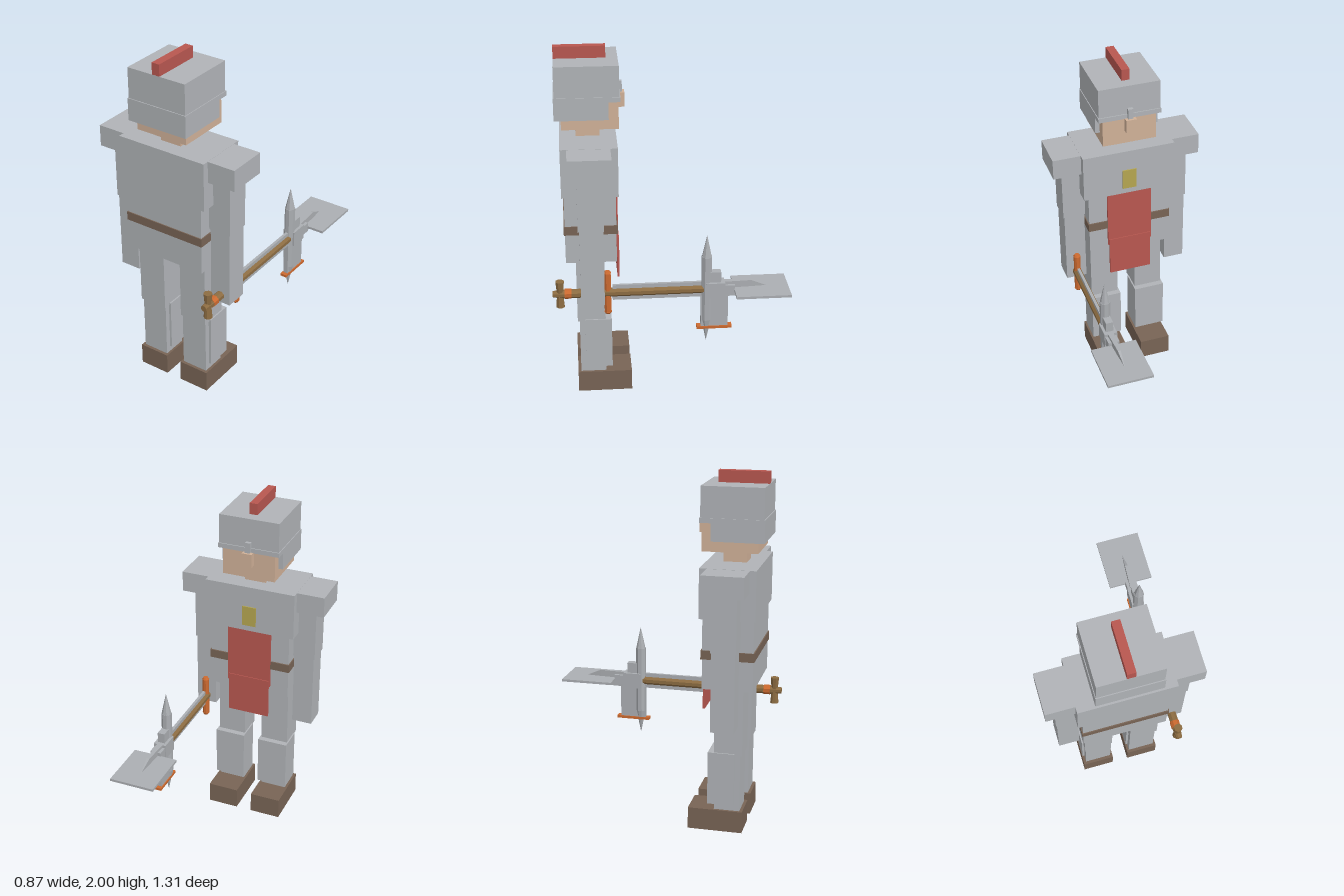
import * as THREE from 'three';

const mat = (name, color, extra = {}) => {
  const m = new THREE.MeshStandardMaterial({ color, flatShading: true, ...extra });
  m.name = name;
  return m;
};

export function createModel() {
  const armour = mat('armourGrey', 0xb0b3b7);
  const steel = mat('weaponSteel', 0xabaeb2);
  const skin = mat('skin', 0xd0b198);
  const red = mat('redCloth', 0xb85750);
  const leather = mat('brownLeather', 0x786455);
  const wood = mat('wood', 0x8c6c42);
  const copper = mat('copper', 0xcc6a30);
  const brass = mat('brass', 0xb5a650);

  const model = new THREE.Group();
  model.name = 'armouredSoldier';

  const add = (parent, name, geo, m, x, y, z) => {
    const mesh = new THREE.Mesh(geo, m);
    mesh.name = name;
    mesh.position.set(x, y, z);
    parent.add(mesh);
    return mesh;
  };
  // Box given by its limits on each axis
  const box = (parent, name, m, [x0, x1], [y0, y1], [z0, z1]) =>
    add(parent, name, new THREE.BoxGeometry(x1 - x0, y1 - y0, z1 - z0), m,
      (x0 + x1) / 2, (y0 + y1) / 2, (z0 + z1) / 2);

  // The body sits slightly off the weapon-inclusive centre
  const body = new THREE.Group();
  body.name = 'body';
  body.position.x = -0.006;
  model.add(body);
  const mid = (name, m, halfWidth, y, z) => box(body, name, m, [-halfWidth, halfWidth], y, z);

  // Head, helmet and crest
  mid('neck', skin, 0.063, [1.5, 1.59], [0.37, 0.5]);
  mid('head', skin, 0.155, [1.58, 1.77], [0.268, 0.576]);
  mid('nose', skin, 0.03, [1.66, 1.74], [0.23, 0.28]);
  mid('helmetTop', armour, 0.177, [1.755, 1.935], [0.264, 0.608]);
  mid('helmetBrow', armour, 0.181, [1.738, 1.765], [0.258, 0.613]);
  mid('helmetBack', armour, 0.181, [1.64, 1.74], [0.54, 0.613]);
  mid('noseGuard', armour, 0.015, [1.725, 1.8], [0.243, 0.27]);
  mid('crest', red, 0.023, [1.93, 2], [0.328, 0.607]);

  // Trunk
  mid('chest', armour, 0.27, [1.235, 1.512], [0.28, 0.588]);
  mid('torso', armour, 0.241, [0.835, 1.24], [0.295, 0.576]);
  mid('belt', leather, 0.247, [1.005, 1.055], [0.287, 0.582]);
  mid('tabardUpper', red, 0.132, [0.885, 1.237], [0.282, 0.298]);
  mid('tabardLower', red, 0.125, [0.682, 0.925], [0.277, 0.289]);
  mid('badge', brass, 0.041, [1.27, 1.39], [0.273, 0.282]);

  // Mirrored limbs and helmet sides
  for (const s of [-1, 1]) {
    const side = (name, m, a, b, y, z) =>
      box(body, name, m, s < 0 ? [-b, -a] : [a, b], y, z);
    side('helmetCheek', armour, 0.15, 0.181, [1.64, 1.74], [0.322, 0.613]);
    side('shoulder', armour, 0.262, 0.432, [1.39, 1.511], [0.32, 0.552]);
    side('upperArm', armour, 0.243, 0.374, [1.08, 1.4], [0.366, 0.506]);
    side('forearm', armour, 0.248, 0.368, [0.635, 1.085], [0.37, 0.5]);
    side('thigh', armour, 0.055, 0.221, [0.455, 0.84], [0.364, 0.522]);
    side('shin', armour, 0.06, 0.215, [0.12, 0.456], [0.366, 0.511]);
    side('greave', armour, 0.047, 0.229, [0.16, 0.465], [0.33, 0.48]);
    side('boot', leather, 0.047, 0.23, [0, 0.125], [0.22, 0.528]);
  }

  // Polearm: local origin on the shaft axis, pointing to -z
  const pole = new THREE.Group();
  pole.name = 'polearm';
  pole.position.set(0.302, 0.681, 0);
  model.add(pole);
  const rod = (name, m, r0, r1, length, y, z, alongZ = false, sides = 8) => {
    const geo = new THREE.CylinderGeometry(r1, r0, length, sides).rotateY(Math.PI / sides);
    if (alongZ) geo.rotateX(-Math.PI / 2);
    return add(pole, name, geo, m, 0, y, z);
  };

  // Shaft with steel strips above and below
  rod('shaft', wood, 0.025, 0.025, 0.79, 0, 0.2, true);
  box(pole, 'langet', steel, [-0.008, 0.008], [-0.045, 0.045], [-0.2, 0.325]);

  // Crossguard, grip ring and pommel
  rod('crossguard', copper, 0.02, 0.02, 0.24, 0, 0.352);
  for (const s of [-1, 1]) {
    rod('guardEnd', copper, s < 0 ? 0.014 : 0.022, s < 0 ? 0.022 : 0.014, 0.012, s * 0.125, 0.352);
    rod('pommelArm', wood, s < 0 ? 0.025 : 0.018, s < 0 ? 0.018 : 0.025, 0.076, s * 0.039, 0.614);
  }
  rod('gripRing', copper, 0.028, 0.028, 0.038, 0, 0.57, true);
  rod('pommelCap', wood, 0.018, 0.024, 0.065, 0, 0.622, true);

  // Upright bar ending in spikes
  rod('uprightBar', steel, 0.03, 0.03, 0.39, 0.004, -0.196);
  rod('topSpike', steel, 0.028, 0.001, 0.125, 0.2605, -0.196);
  rod('bottomSpike', steel, 0.001, 0.028, 0.135, -0.2585, -0.196);

  // Socket blocks
  box(pole, 'socket', steel, [-0.037, 0.037], [-0.045, 0.045], [-0.297, -0.19]);
  box(pole, 'socketStud', steel, [-0.021, 0.021], [0.04, 0.106], [-0.275, -0.2]);
  box(pole, 'frontCollar', steel, [-0.032, 0.032], [-0.028, 0.028], [-0.352, -0.29]);

  // Front spike: flat tapering blade with a point
  const spike = new THREE.BoxGeometry(0.034, 0.09, 0.155);
  const sp = spike.attributes.position;
  for (let i = 0; i < sp.count; i++) if (sp.getZ(i) < 0) sp.setX(i, sp.getX(i) * 0.5);
  spike.computeVertexNormals();
  add(pole, 'frontSpike', spike, steel, 0, 0, -0.3675);
  const tip = new THREE.CylinderGeometry(0.001, Math.SQRT1_2, 0.1, 4)
    .rotateY(Math.PI / 4).rotateX(-Math.PI / 2).scale(0.017, 0.09, 1);
  add(pole, 'spikeTip', tip, steel, 0, 0, -0.495);

  // Flat front plate and lower hammer blade with copper edge
  box(pole, 'frontPlate', steel, [-0.128, 0.132], [-0.007, 0.007], [-0.652, -0.348]);
  box(pole, 'lowerBlade', steel, [-0.014, 0.014], [-0.231, -0.04], [-0.317, -0.165]);
  box(pole, 'bladeEdge', copper, [-0.02, 0.02], [-0.246, -0.231], [-0.34, -0.142]);

  return model;
}
